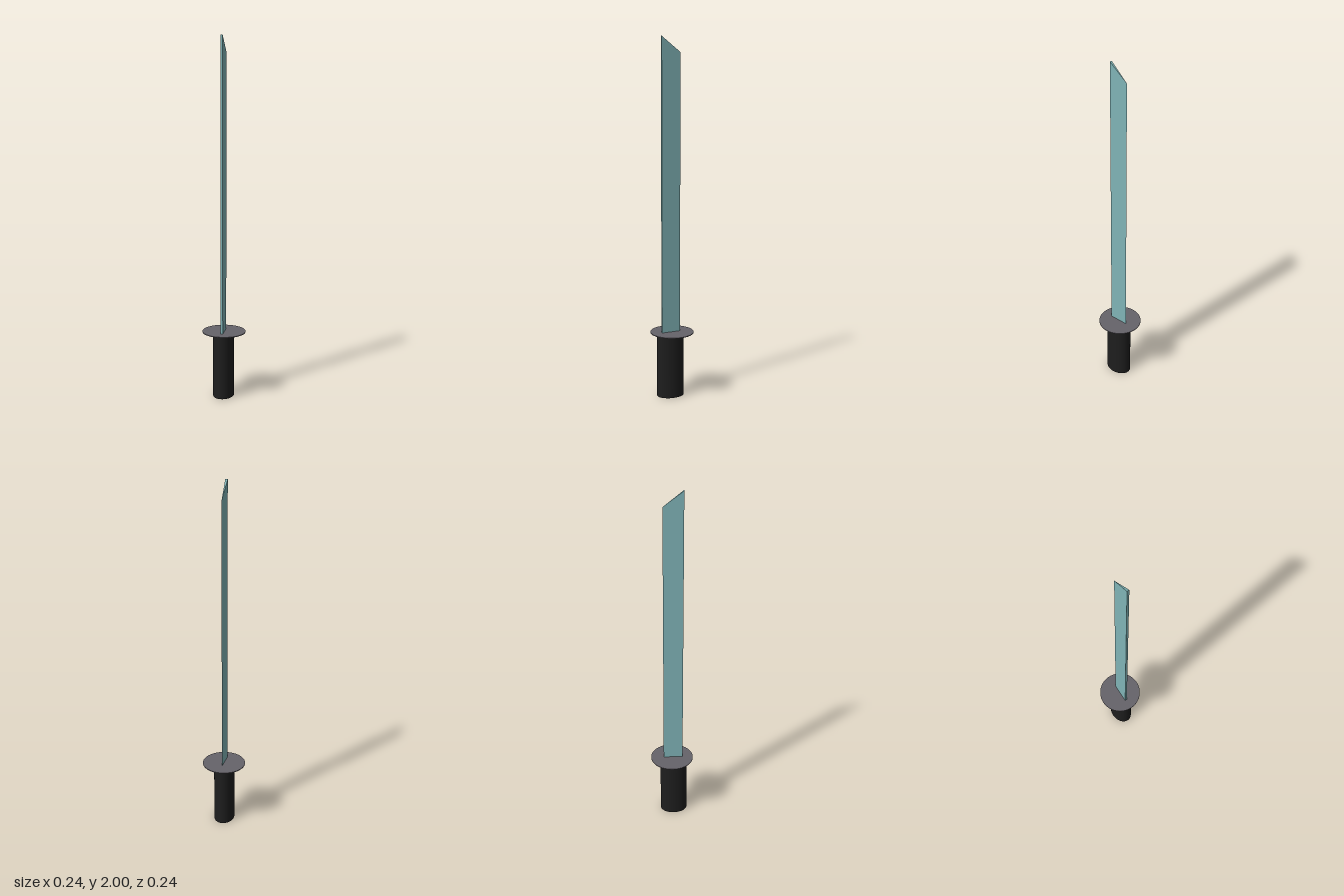
import * as THREE from 'three';

function part(name, geometry, color, flatShading = false) {
  const mesh = new THREE.Mesh(geometry, new THREE.MeshStandardMaterial({ color, flatShading }));
  mesh.name = name;
  return mesh;
}

export function createModel() {
  const group = new THREE.Group();
  group.name = 'sword';

  // Oval grip, deeper than wide
  const grip = part('grip', new THREE.CylinderGeometry(1, 1, 0.367, 32), 0x1e1e1e);
  grip.scale.set(0.058, 1, 0.077);
  grip.position.set(0, 0.1835, 0.01);

  // Thin round guard
  const guard = part('guard', new THREE.CylinderGeometry(0.121, 0.121, 0.004, 48), 0x66636a);
  guard.position.y = 0.369;

  // Wedge blade: flat spine at +z, cutting edge at -z
  const spineZ = 0.061, edgeZ = -0.048, baseY = 0.365;
  const section = new THREE.Shape([
    new THREE.Vector2(-0.005, -spineZ),
    new THREE.Vector2(0.008, -spineZ),
    new THREE.Vector2(0.001, -edgeZ),
  ]);
  const bladeGeometry = new THREE.ExtrudeGeometry(section, { depth: 2 - baseY, bevelEnabled: false });
  bladeGeometry.rotateX(-Math.PI / 2).translate(0, baseY, 0);

  // Slant the tip down towards the cutting edge
  const p = bladeGeometry.attributes.position;
  for (let i = 0; i < p.count; i++) {
    if (p.getY(i) > 1) p.setY(i, 2 - 0.085 * (spineZ - p.getZ(i)) / (spineZ - edgeZ));
  }
  bladeGeometry.computeVertexNormals();
  const blade = part('blade', bladeGeometry, 0x80b4b7, true);

  group.add(grip, guard, blade);
  return group;
}
